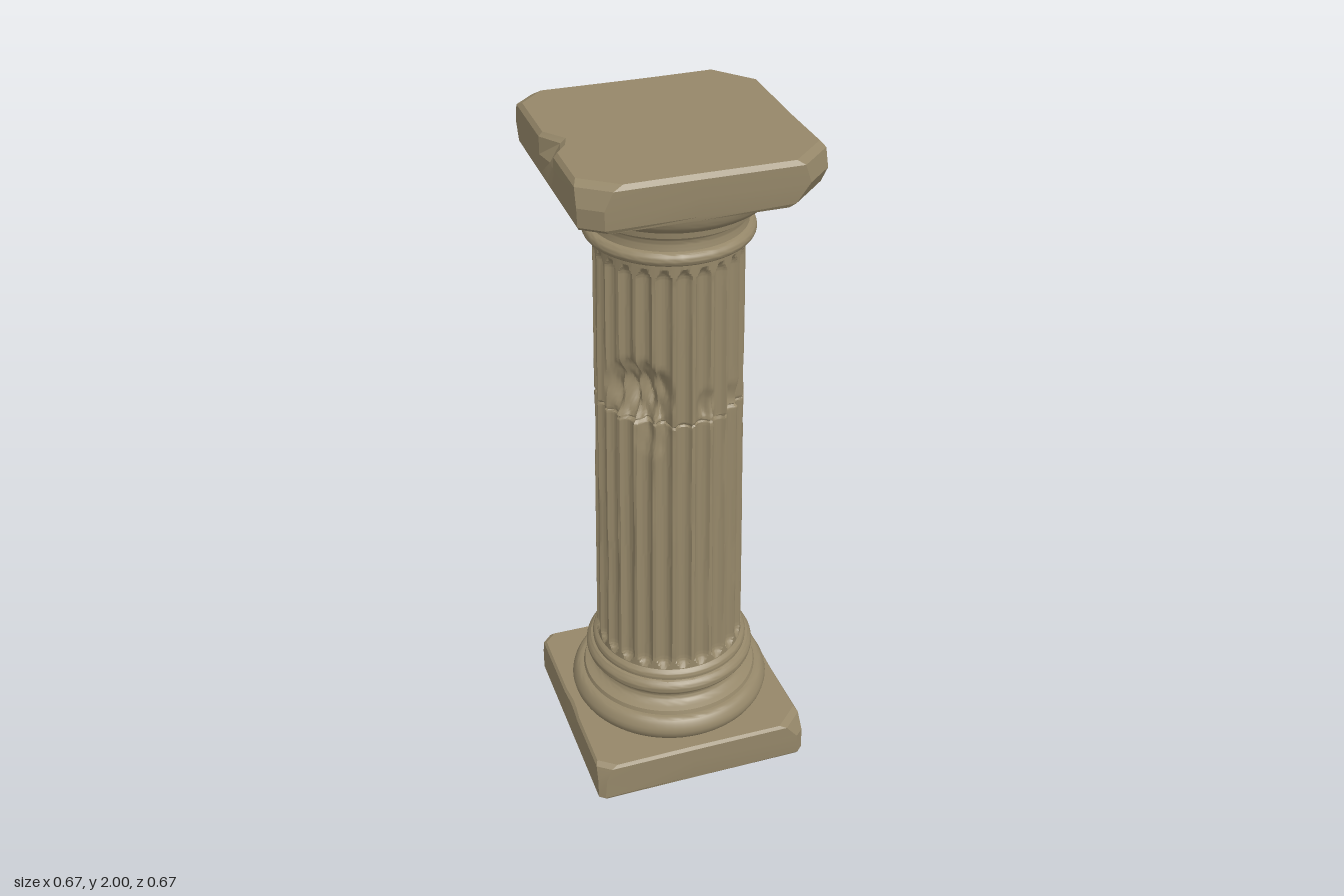
import * as THREE from 'three';
import { toCreasedNormals } from 'three/addons/utils/BufferGeometryUtils.js';

// Repeatable pseudo-random value in 0..1
const hash = (n) => {
  const s = Math.sin(n * 127.1 + 11.7) * 43758.5453;
  return s - Math.floor(s);
};

function geometryFrom(positions, indices) {
  const g = new THREE.BufferGeometry();
  g.setAttribute('position', new THREE.Float32BufferAttribute(positions, 3));
  g.setIndex(indices);
  return g;
}

// Stone slab with broken corners, from stacked outlines.
// level: y, half width, corner cuts (front left, back left, back right, front right), edge chip depth
function slab(levels) {
  const pos = [], idx = [];
  let n = 0;
  levels.forEach(({ y, h, cuts: [a, b, c, d], chip }, j) => {
    const worn = (k) => h - 0.006 * hash(k + j * 9);
    const ring = [
      [h - a, h], [h, h - a * 0.95], [worn(1), 0.05],
      [h, -h + b * 1.2], [h - b, -h], [0.04, -worn(2)],
      [-h + c, -h], [-h, -h + c],
      [-h, -0.05], [-h + chip, 0.01], [-h + chip * 0.7, 0.05], [-h, 0.09],
      [-h, h - d * 0.85], [-h + d * 1.15, h], [-0.03, worn(3)],
    ];
    n = ring.length;
    ring.forEach(([x, z]) => pos.push(x, y, z));
  });
  const last = (levels.length - 1) * n, bottom = levels.length * n, top = bottom + 1;
  pos.push(0, levels[0].y, 0, 0, levels[levels.length - 1].y, 0);
  for (let i = 0; i < n; i++) {
    const k = (i + 1) % n;
    for (let r = 0; r < last; r += n) {
      idx.push(r + i, r + k, r + n + k, r + i, r + n + k, r + n + i);
    }
    idx.push(bottom, k, i, top, last + i, last + k);
  }
  return toCreasedNormals(geometryFrom(pos, idx), 0.25);
}

// Turned moulding; smooth curves through each run of points
function moulding(runs) {
  const pts = runs.flatMap((run) =>
    new THREE.SplineCurve(run.map(([r, y]) => new THREE.Vector2(r, y))).getPoints(run.length > 2 ? 12 : 1));
  const clean = pts.filter((p, i) => i === 0 || p.distanceTo(pts[i - 1]) > 1e-4);
  return toCreasedNormals(new THREE.LatheGeometry(clean, 72), 0.6);
}

// Fluted, tapering shaft with a ring crack and broken patches
function flutedShaft() {
  const flutes = 24, per = 12, cols = flutes * per;
  const y0 = 0.34, y1 = 1.71, f0 = 0.36, f1 = 1.675;
  // angle, height, angular reach, vertical reach, depth
  const dents = [
    [-0.78, 1.3, 0.55, 0.1, 0.05],
    [-0.55, 1.2, 0.3, 0.1, 0.014],
    [0.22, 1.26, 0.15, 0.045, 0.016],
    [1.3, 1.29, 0.26, 0.09, 0.018],
    [0.75, 1.24, 0.2, 0.04, 0.012],
  ];
  const rows = [];
  for (let i = 0; i <= 100; i++) rows.push(y0 + (y1 - y0) * i / 100);
  for (let i = 1; i < 7; i++) rows.push(f0 + i * 0.0047, f1 - i * 0.0047);
  for (let i = -5; i <= 5; i++) rows.push(1.205 + i * 0.004);
  rows.sort((a, b) => a - b);

  const radius = (t, y, col) => {
    let r = 0.223 - 0.018 * (y - y0) / (y1 - y0);
    // rounded flute with domed ends
    const id = Math.floor(col / per);
    const u = ((col % per) / per - 0.5) / 0.38;
    const end = Math.max(0, f0 + 0.028 - y, y - f1 + 0.028) / 0.028;
    r -= 0.017 * Math.sqrt(Math.max(0, 1 - u * u - end * end));
    // worn ridges
    if (Math.abs(u) > 0.9 && end === 0) {
      r -= 0.004 * Math.max(0, Math.sin(y * (5 + 6 * hash(id)) + 6.28 * hash(id + 40)) - 0.35);
    }
    // uneven ring crack
    const crack = 1.205 + 0.012 * (hash(Math.floor(col / 8)) - 0.5);
    r -= 0.006 * Math.max(0, 1 - Math.abs(y - crack) / 0.005);
    // broken patches
    for (const [a, h, ra, rh, depth] of dents) {
      const d = Math.hypot((t - a) / ra, (y - h) / rh);
      if (d < 1) r -= depth * (1 - d * d) * (0.85 + 0.15 * Math.sin(t * 21 + y * 60));
    }
    return r;
  };

  const pos = [], idx = [];
  rows.forEach((y, j) => {
    for (let i = 0; i <= cols; i++) {
      const t = -Math.PI + (i / cols) * Math.PI * 2;
      const r = radius(t, y, i % cols);
      pos.push(r * Math.sin(t), y, r * Math.cos(t));
      if (j && i) {
        const b = j * (cols + 1) + i, a = b - cols - 1;
        idx.push(a - 1, a, b, a - 1, b, b - 1);
      }
    }
  });
  return toCreasedNormals(geometryFrom(pos, idx), 0.6);
}

export function createModel() {
  const stone = new THREE.MeshStandardMaterial({ color: 0x958769 });
  stone.name = 'weathered stone';
  const group = new THREE.Group();
  group.name = 'column';
  const add = (name, geometry) => {
    const mesh = new THREE.Mesh(geometry, stone);
    mesh.name = name;
    group.add(mesh);
  };

  add('plinth', slab([
    { y: 0, h: 0.326, cuts: [0.02, 0.015, 0.02, 0.015], chip: 0 },
    { y: 0.008, h: 0.331, cuts: [0.02, 0.015, 0.02, 0.015], chip: 0 },
    { y: 0.075, h: 0.331, cuts: [0.025, 0.015, 0.02, 0.02], chip: 0 },
    { y: 0.118, h: 0.331, cuts: [0.06, 0.025, 0.03, 0.035], chip: 0.004 },
    { y: 0.127, h: 0.324, cuts: [0.075, 0.03, 0.035, 0.045], chip: 0.006 },
  ]));

  add('baseMoulding', moulding([
    [[0.25, 0.125], [0.285, 0.132], [0.304, 0.168], [0.288, 0.203], [0.268, 0.21]],
    [[0.268, 0.21], [0.264, 0.222]],
    [[0.264, 0.222], [0.236, 0.234], [0.226, 0.252], [0.236, 0.27]],
    [[0.236, 0.27], [0.243, 0.274]],
    [[0.243, 0.274], [0.255, 0.286], [0.256, 0.304], [0.244, 0.32]],
    [[0.244, 0.32], [0.236, 0.322]],
    [[0.236, 0.322], [0.236, 0.336], [0.228, 0.347], [0.215, 0.356]],
  ]));

  add('shaft', flutedShaft());

  add('capitalMoulding', moulding([
    [[0.2, 1.69], [0.212, 1.698]],
    [[0.212, 1.698], [0.228, 1.706], [0.234, 1.72], [0.227, 1.735], [0.214, 1.74]],
    [[0.214, 1.74], [0.211, 1.765], [0.221, 1.783]],
    [[0.221, 1.783], [0.236, 1.787]],
    [[0.236, 1.787], [0.238, 1.805]],
    [[0.238, 1.805], [0.262, 1.815], [0.284, 1.834], [0.294, 1.858]],
    [[0.294, 1.858], [0.296, 1.872], [0.285, 1.882]],
  ]));

  add('abacus', slab([
    { y: 1.877, h: 0.325, cuts: [0.12, 0.085, 0.07, 0.055], chip: 0 },
    { y: 1.888, h: 0.331, cuts: [0.11, 0.075, 0.06, 0.05], chip: 0 },
    { y: 1.94, h: 0.333, cuts: [0.075, 0.06, 0.045, 0.05], chip: 0.012 },
    { y: 1.988, h: 0.332, cuts: [0.09, 0.085, 0.055, 0.07], chip: 0.04 },
    { y: 2, h: 0.322, cuts: [0.1, 0.09, 0.07, 0.085], chip: 0.045 },
  ]));

  return group;
}
